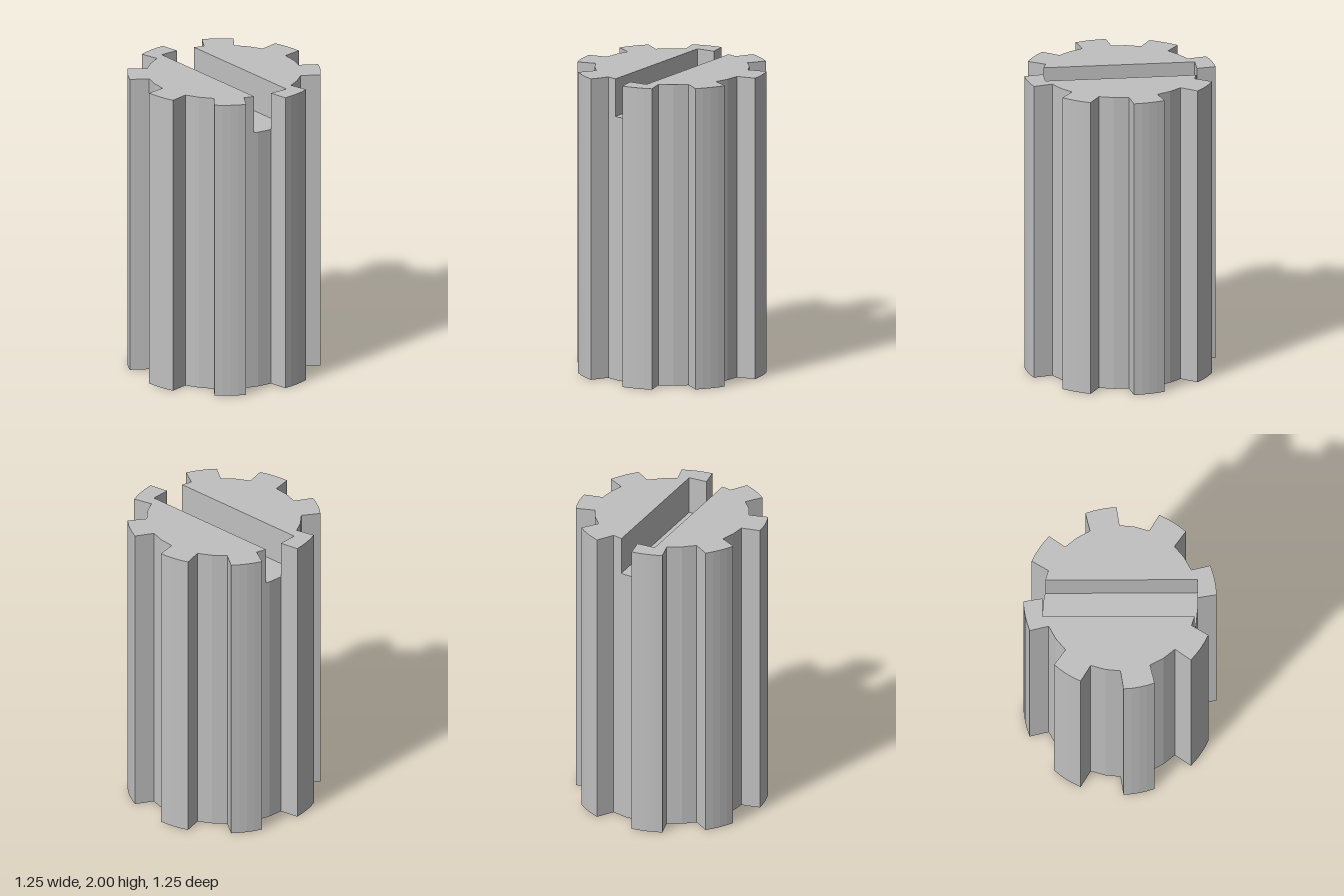
import * as THREE from 'three';

const TEETH = 8, ROOT = 0.5, TIP = 0.625, HEIGHT = 2;
const SLOT_FLOOR = 1.75, SLOT_HALF = 0.125;

const polar = (r, deg) => {
  const a = THREE.MathUtils.degToRad(deg);
  return new THREE.Vector2(r * Math.cos(a), r * Math.sin(a));
};

// Outline of consecutive teeth, each followed by its faceted gap
function toothOutline(count) {
  const points = [];
  for (let i = 0; i < count; i++) {
    const a = (i * 360) / TEETH;
    points.push(polar(ROOT, a));
    for (let k = 0; k <= 4; k++) points.push(polar(TIP, a + 1.8 + (k * 18.9) / 4));
    points.push(polar(ROOT, a + 22.5), polar(ROOT, a + 33.75));
  }
  return points;
}

// Upright prism from an outline drawn in (x, -z)
function prism(name, points, y0, y1, material) {
  const geometry = new THREE.ExtrudeGeometry(new THREE.Shape(points), { depth: y1 - y0, bevelEnabled: false });
  geometry.rotateX(-Math.PI / 2).translate(0, y0, 0);
  const mesh = new THREE.Mesh(geometry, material);
  mesh.name = name;
  return mesh;
}

export function createModel() {
  const group = new THREE.Group();
  group.name = 'slottedSplineShaft';
  const metal = new THREE.MeshStandardMaterial({ color: 0xc0c0c0 });
  metal.name = 'grey metal';

  // Splined body up to the slot floor
  group.add(prism('splinedBody', toothOutline(TEETH), 0, SLOT_FLOOR, metal));

  // Top half beside the slot: four teeth, the first closing half of one slot end
  const half = toothOutline(TEETH / 2);
  const last = half.pop(), previous = half[half.length - 1];
  half.push(
    previous.clone().lerp(last, (previous.y - SLOT_HALF) / (previous.y - last.y)),
    new THREE.Vector2(ROOT, SLOT_HALF)
  );
  const back = prism('backTopHalf', half, SLOT_FLOOR, HEIGHT, metal);
  const front = back.clone();
  front.name = 'frontTopHalf';
  front.rotation.y = Math.PI;
  group.add(back, front);

  return group;
}
